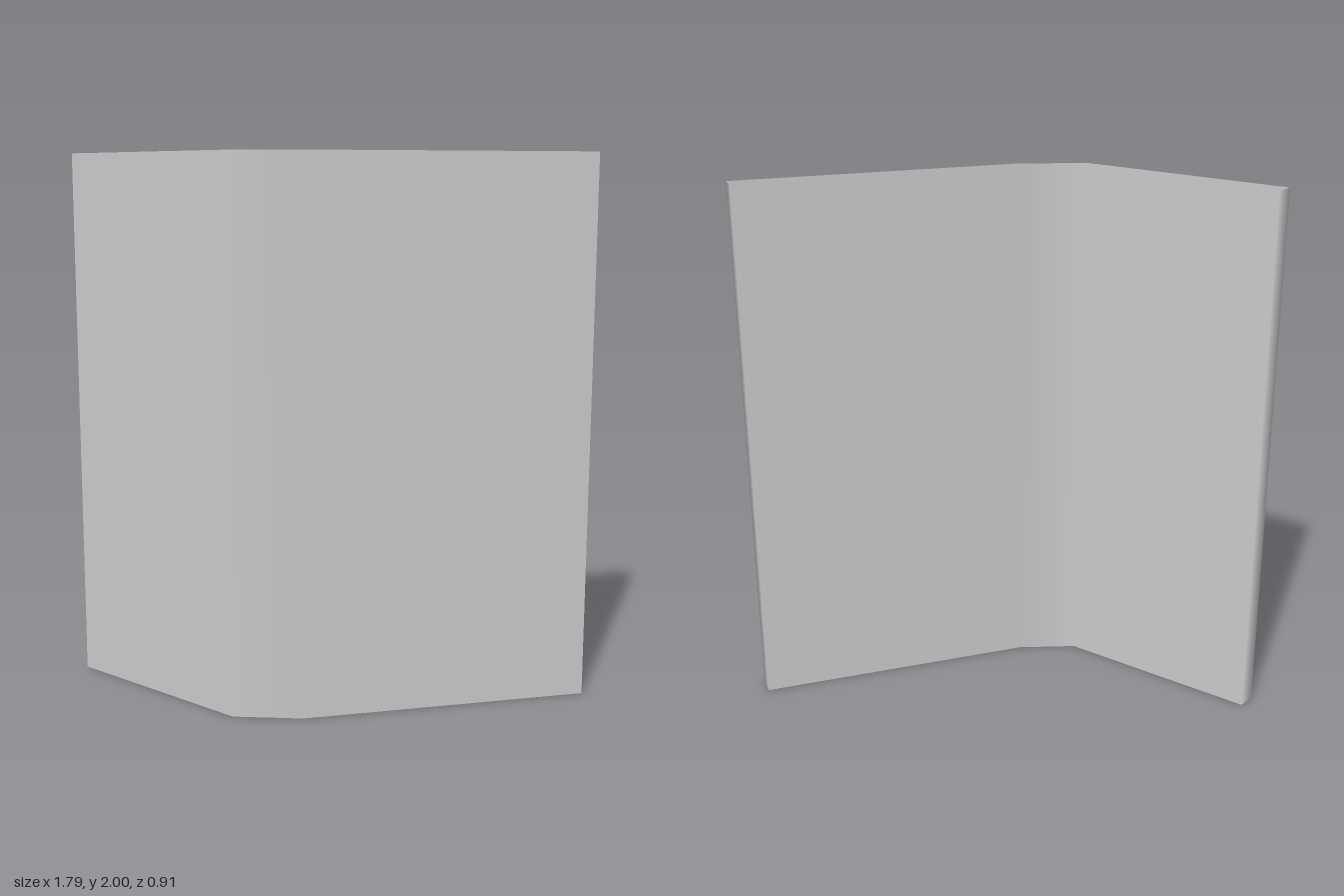
import * as THREE from 'three';

const HEIGHT = 2;

// Plan outlines as [x, z], running from -x to +x
const FRONT = [[-0.895, 0.318], [-0.105, 0.453], [0.122, 0.34], [0.892, -0.41]];
const BACK = [[-0.876, 0.25], [-0.112, 0.385], [0.089, 0.278], [0.842, -0.453]];

// Outward plan normal of the edge a -> b
function edgeNormal(a, b) {
  const dx = b[0] - a[0], dz = b[1] - a[1], l = Math.hypot(dx, dz);
  return new THREE.Vector3(-dz / l, 0, dx / l);
}

// Upright sheet over a path of plan points, with one normal per point
function sheet(name, path, normals, material) {
  const pos = [], nor = [], idx = [];
  path.forEach(([x, z], i) => {
    for (const y of [0, HEIGHT]) {
      pos.push(x, y, z);
      nor.push(...normals[i].toArray());
    }
    const k = 2 * i;
    if (i < path.length - 1) idx.push(k, k + 2, k + 3, k, k + 3, k + 1);
  });
  const geo = new THREE.BufferGeometry();
  geo.setAttribute('position', new THREE.Float32BufferAttribute(pos, 3));
  geo.setAttribute('normal', new THREE.Float32BufferAttribute(nor, 3));
  geo.setIndex(idx);
  const mesh = new THREE.Mesh(geo, material);
  mesh.name = name;
  return mesh;
}

// Face of two flat wings; the bend strip between them is shaded smoothly
function face(name, path, material) {
  const first = edgeNormal(path[0], path[1]);
  const last = edgeNormal(path[2], path[3]);
  return sheet(name, path, [first, first, last, last], material);
}

// Narrow closing strip, shaded softly as if rounded over
function edge(name, a, b, material) {
  const out = edgeNormal(a, b).multiplyScalar(0.35);
  const across = new THREE.Vector3(a[0] - b[0], 0, a[1] - b[1]).normalize();
  const normals = [1, -1].map((s) => out.clone().addScaledVector(across, s).normalize());
  return sheet(name, [a, b], normals, material);
}

export function createModel() {
  const group = new THREE.Group();
  group.name = 'bentPanel';
  // The panel is a hollow shell, open at top and bottom
  const material = new THREE.MeshStandardMaterial({ color: 0xcccccc, side: THREE.DoubleSide });
  group.add(
    face('frontFace', FRONT, material),
    face('backFace', [...BACK].reverse(), material),
    edge('leftEdge', FRONT[3], BACK[3], material),
    edge('rightEdge', BACK[0], FRONT[0], material),
  );
  return group;
}
